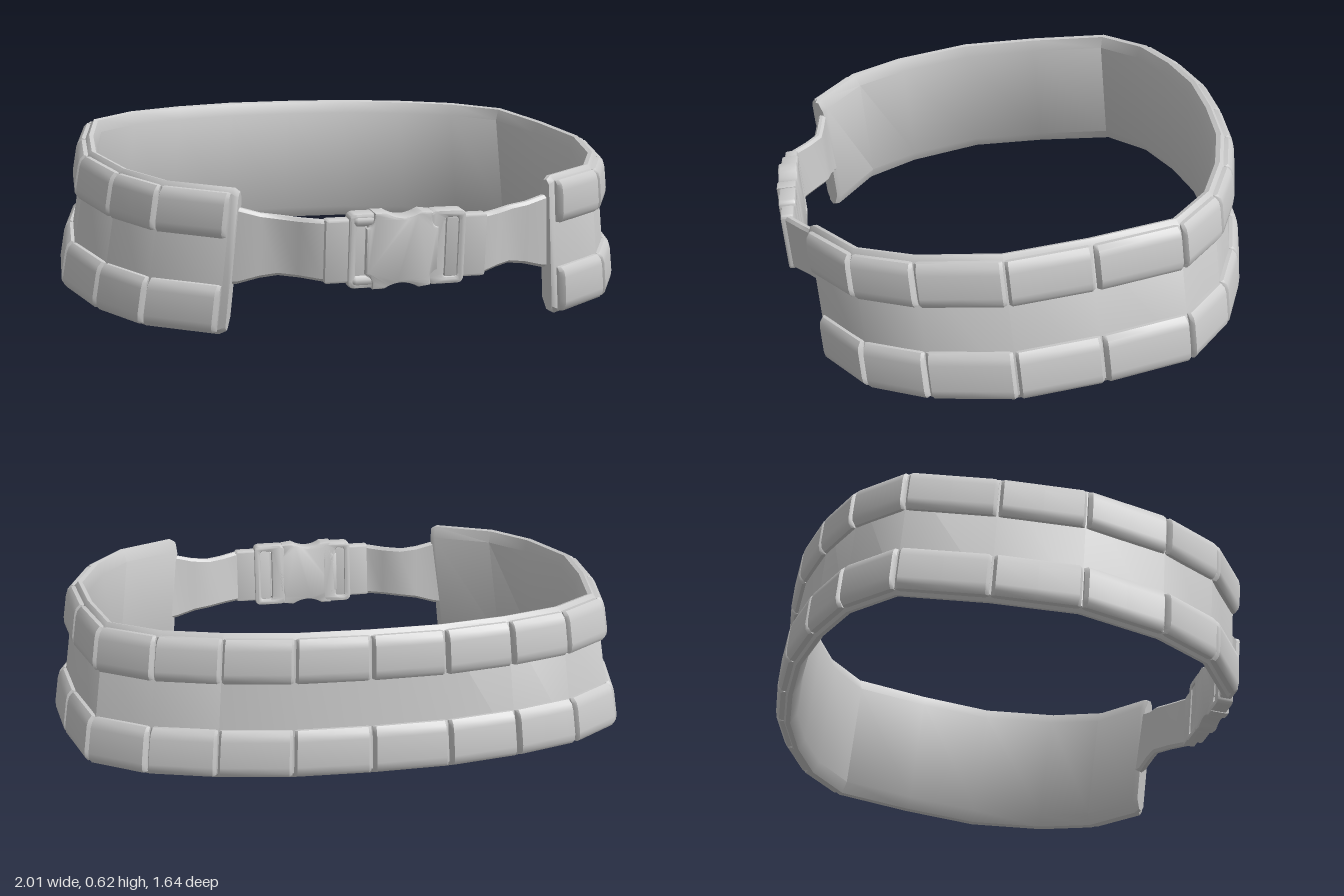
import * as THREE from 'three';
import { toCreasedNormals } from 'three/addons/utils/BufferGeometryUtils.js';

const material = new THREE.MeshStandardMaterial({ color: 0xcccccc });

function addMesh(parent, name, geometry) {
  const mesh = new THREE.Mesh(geometry, material);
  mesh.name = name;
  parent.add(mesh);
  return mesh;
}

// Plan path -> stations with mitred outward normals
function makeStations(points) {
  return points.map(([x, z], i) => {
    const a = points[Math.max(i - 1, 0)], b = points[Math.min(i + 1, points.length - 1)];
    const unit = (p, q) => new THREE.Vector2(q[0] - p[0], q[1] - p[1]).normalize();
    const t = new THREE.Vector2();
    if (i > 0) t.add(unit(a, [x, z]));
    if (i < points.length - 1) t.add(unit([x, z], b));
    t.normalize();
    return { x, z, nx: t.y, nz: -t.x };
  });
}

function mixStations(a, b, f) {
  const s = {};
  for (const k of ['x', 'z', 'nx', 'nz']) s[k] = THREE.MathUtils.lerp(a[k], b[k], f);
  return s;
}

// Sweep a closed section of [depth inward, height] through the stations.
// sectionAt(i) gives the section of station i; taper narrows x with height.
function sweep(stations, sectionAt, taper = 0, crease = 0.65) {
  const pos = [], idx = [], n = sectionAt(0).length;
  const put = (s, d, v) => pos.push((s.x - s.nx * d) * (1 - taper * v), v, s.z - s.nz * d);
  stations.forEach((s, i) => sectionAt(i).forEach(([d, v]) => put(s, d, v)));
  for (let i = 0; i < stations.length - 1; i++) {
    for (let j = 0; j < n; j++) {
      const k = (j + 1) % n, a = i * n + j, d = i * n + k, b = a + n, c = d + n;
      idx.push(a, c, b, a, d, c);
    }
  }
  // End caps
  for (const i of [0, stations.length - 1]) {
    const sec = sectionAt(i), centre = pos.length / 3;
    put(stations[i], sec.reduce((m, p) => m + p[0], 0) / n, sec.reduce((m, p) => m + p[1], 0) / n);
    for (let j = 0; j < n; j++) {
      const a = i * n + j, b = i * n + (j + 1) % n;
      if (i === 0) idx.push(centre, b, a); else idx.push(centre, a, b);
    }
  }
  const g = new THREE.BufferGeometry();
  g.setAttribute('position', new THREE.Float32BufferAttribute(pos, 3));
  g.setIndex(idx);
  return toCreasedNormals(g, crease);
}

// Bevelled plate facing +z, centred on z
function plate(shape, depth, z) {
  const bevel = 0.008;
  const g = new THREE.ExtrudeGeometry(shape, {
    depth: depth - 2 * bevel, bevelThickness: bevel, bevelSize: bevel, bevelOffset: -bevel,
    bevelSegments: 2, curveSegments: 8,
  });
  g.translate(0, 0, z - depth / 2 + bevel);
  return toCreasedNormals(g, 0.6);
}

function roundRect(path, x0, y0, x1, y1, r) {
  path.moveTo(x0 + r, y0);
  path.lineTo(x1 - r, y0); path.quadraticCurveTo(x1, y0, x1, y0 + r);
  path.lineTo(x1, y1 - r); path.quadraticCurveTo(x1, y1, x1 - r, y1);
  path.lineTo(x0 + r, y1); path.quadraticCurveTo(x0, y1, x0, y1 - r);
  path.lineTo(x0, y0 + r); path.quadraticCurveTo(x0, y0, x0 + r, y0);
  return path;
}

export function createModel() {
  const model = new THREE.Group();
  model.name = 'paddedBelt';
  const belt = new THREE.Group();
  belt.name = 'tiltedBelt';
  belt.rotation.x = 0.1;
  belt.position.y = 0.311;
  model.add(belt);

  // Outline of the belt, from the middle of the back to the left front end
  const half = [[0, -0.805], [0.25, -0.795], [0.485, -0.745], [0.70, -0.665], [0.88, -0.515],
    [0.945, -0.22], [0.975, 0.065], [0.905, 0.35], [0.79, 0.55], [0.58, 0.69]];
  const path = [...half.slice(1).reverse().map(([x, z]) => [-x, z]), ...half];
  const stations = makeStations(path);
  const taper = 0.16;

  // Padded body with bevelled inner rims, slightly longer than the pouch rows
  const body = [[0.028, -0.222], [0.028, 0.222], [0.042, 0.24], [0.058, 0.236], [0.078, 0.195],
    [0.078, -0.195], [0.058, -0.236], [0.042, -0.24]];
  const last = stations.length - 1;
  const ends = [mixStations(stations[0], stations[1], -0.09), mixStations(stations[last], stations[last - 1], -0.09)];
  const bodyStations = [ends[0], ...stations, ends[1]];
  addMesh(belt, 'paddedBody', sweep(bodyStations, (i) => (i === 0 || i === last + 2
    ? body.map(([d, v]) => [0.052 + (d - 0.052) * 0.75, v * 0.95]) : body), taper));

  // Two rows of pillow-shaped pouches, one per path segment
  for (const [name, low, high] of [['upperPouch', 0.08, 0.226], ['lowerPouch', -0.23, -0.075]]) {
    const row = new THREE.Group();
    row.name = name + 'Row';
    belt.add(row);
    const section = [[0.04, low], [0.016, low], [0.004, low + 0.014], [0, low + 0.035],
      [0, high - 0.035], [0.004, high - 0.014], [0.016, high], [0.04, high]];
    const mid = (low + high) / 2;
    const edge = section.map(([d, v]) => [0.04 - (0.04 - d) * 0.62, mid + (v - mid) * 0.97]);
    for (let i = 0; i < last; i++) {
      const s = [0.012, 0.05, 0.5, 0.95, 0.988].map((f) => mixStations(stations[i], stations[i + 1], f));
      addMesh(row, name, sweep(s, (k) => (k === 0 || k === 4 ? edge : section), taper));
    }
  }

  // Front fastening: straps and buckle share one height
  const front = new THREE.Group();
  front.name = 'frontFastening';
  front.position.y = 0.05;
  belt.add(front);

  const strapPath = [[0.58, 0.63], [0.52, 0.65], [0.45, 0.66], [0.39, 0.668], [0.33, 0.71], [0.27, 0.755], [0.08, 0.765]];
  const strapHeight = [0.13, 0.125, 0.106, 0.098, 0.097, 0.1, 0.1];
  const strapSection = (h) => [[-0.015, -h + 0.01], [-0.015, h - 0.01], [-0.006, h], [0.006, h],
    [0.015, h - 0.01], [0.015, -h + 0.01], [0.006, -h], [-0.006, -h]];
  for (const side of [1, -1]) {
    const label = side > 0 ? 'left' : 'right';
    let pts = strapPath.map(([x, z]) => [x * side, z]), heights = strapHeight;
    if (side < 0) { pts = pts.reverse(); heights = [...heights].reverse(); }
    addMesh(front, label + 'Strap', sweep(makeStations(pts), (i) => strapSection(heights[i])));

    // Folded strap end
    const [x0, x1] = side > 0 ? [0.13, 0.27] : [-0.27, -0.13];
    addMesh(front, label + 'StrapFold', plate(roundRect(new THREE.Shape(), x0, -0.104, x1, 0.104, 0.012), 0.046, 0.763));

    // Slotted frame that holds the strap
    const f = side > 0 ? [0.07, 0.195] : [-0.195, -0.08];
    const frame = roundRect(new THREE.Shape(), f[0], -0.122, f[1], 0.122, 0.025);
    const slot = side > 0 ? [0.125, 0.17] : [-0.17, -0.135];
    frame.holes.push(roundRect(new THREE.Path(), slot[0], -0.098, slot[1], 0.098, 0.01));
    addMesh(front, label + 'BuckleFrame', plate(frame, 0.06, 0.763));
  }

  // Buckle housing with scooped top and bottom edges
  const housing = new THREE.Shape();
  housing.moveTo(-0.14, -0.075);
  housing.quadraticCurveTo(-0.115, -0.08, -0.115, -0.125);
  housing.lineTo(-0.075, -0.125);
  housing.quadraticCurveTo(-0.02, -0.09, 0.04, -0.125);
  housing.lineTo(0.08, -0.12);
  housing.quadraticCurveTo(0.07, -0.075, 0.1, -0.07);
  housing.lineTo(0.1, 0.07);
  housing.quadraticCurveTo(0.07, 0.075, 0.08, 0.12);
  housing.lineTo(0.04, 0.125);
  housing.quadraticCurveTo(-0.02, 0.09, -0.075, 0.125);
  housing.lineTo(-0.115, 0.125);
  housing.quadraticCurveTo(-0.115, 0.08, -0.14, 0.075);
  housing.closePath();
  addMesh(front, 'buckleHousing', plate(housing, 0.07, 0.768));

  // Side release prongs
  for (const y of [0.098, -0.098]) {
    const prong = new THREE.CapsuleGeometry(0.02, 0.045, 4, 10);
    prong.rotateZ(Math.PI / 2);
    addMesh(front, 'releaseProng', prong).position.set(-0.145, y, 0.778);
  }
  return model;
}
